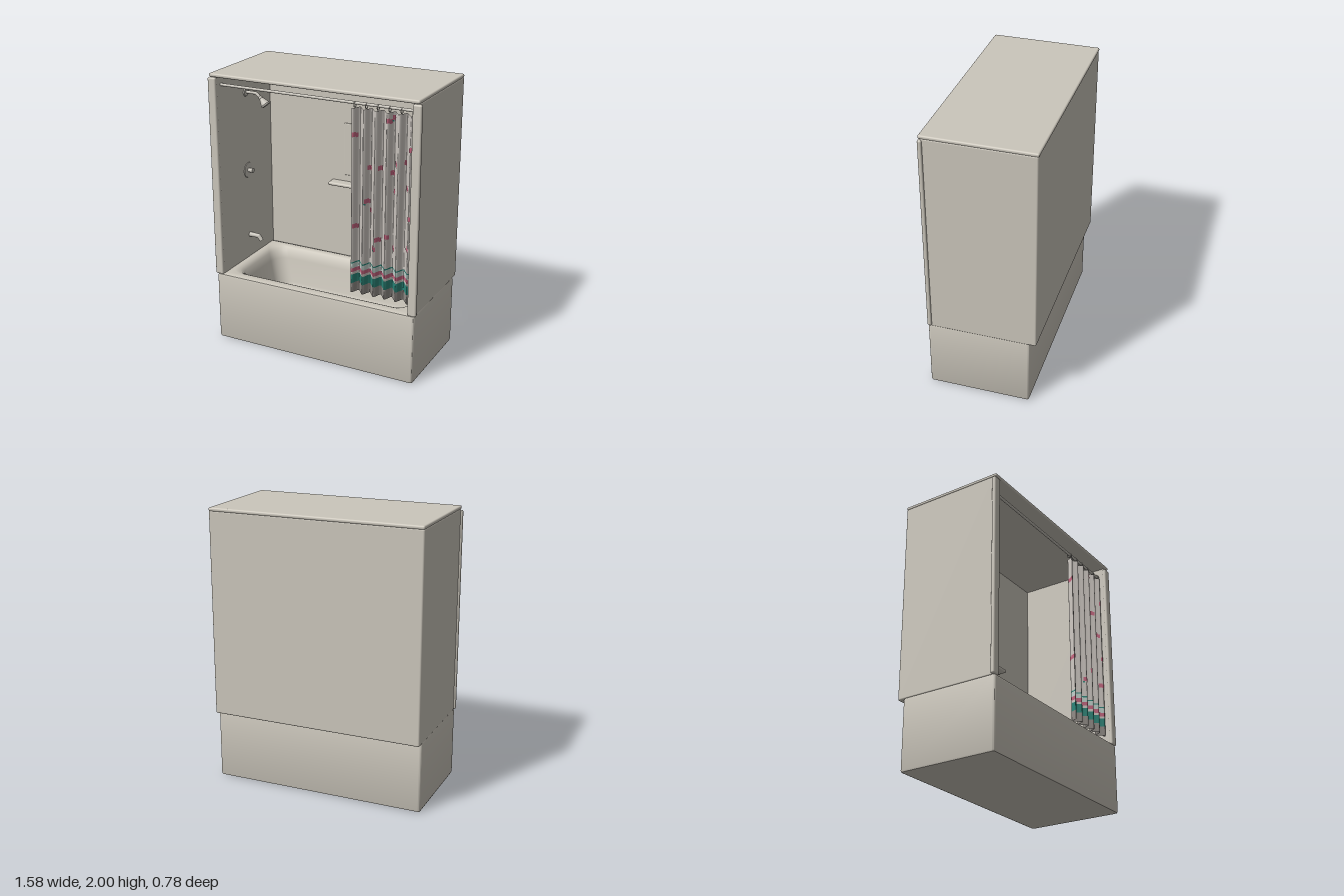
import * as THREE from 'three';
import { toCreasedNormals } from 'three/addons/utils/BufferGeometryUtils.js';
import { RoundedBoxGeometry } from 'three/addons/geometries/RoundedBoxGeometry.js';

const mat = (name, color, side = THREE.FrontSide) => {
  const m = new THREE.MeshStandardMaterial({ color, side });
  m.name = name;
  return m;
};

// Rounded rectangle in the xz plane
function rectLoop(hx, hz, r, y, cz) {
  const pts = [], n = 8;
  const corners = [[1, 1], [-1, 1], [-1, -1], [1, -1]];
  corners.forEach(([sx, sz], k) => {
    for (let i = 0; i <= n; i++) {
      const t = (k + i / n) * Math.PI / 2;
      pts.push([sx * (hx - r) + r * Math.cos(t), y, cz + sz * (hz - r) + r * Math.sin(t)]);
    }
  });
  return pts;
}

// Skin over a stack of equal-length closed loops
function loft(loops) {
  const n = loops[0].length, index = [];
  for (let i = 0; i < loops.length - 1; i++) {
    for (let j = 0; j < n; j++) {
      const k = (j + 1) % n;
      const a = i * n + j, b = i * n + k, c = a + n, d = b + n;
      index.push(a, c, b, b, c, d);
    }
  }
  const g = new THREE.BufferGeometry();
  g.setAttribute('position', new THREE.Float32BufferAttribute(loops.flat(2), 3));
  g.setIndex(index);
  return toCreasedNormals(g, 0.75);
}

export function createModel() {
  const model = new THREE.Group();
  model.name = 'bathtubShower';
  const shell = mat('warm grey shell', 0xcbc6bb);
  const metal = mat('satin fittings', 0xc6c2b9);
  const cloth = mat('curtain cloth', 0xcfc9c3, THREE.DoubleSide);
  const hem = mat('curtain hem grey', 0x918c87, THREE.DoubleSide);
  const pink = mat('curtain pink', 0xc4657f, THREE.DoubleSide);
  const teal = mat('curtain teal', 0x2b8578, THREE.DoubleSide);
  const pale = mat('curtain pale band', 0xc2d2cc, THREE.DoubleSide);

  const add = (name, geo, material, parent = model) => {
    const m = new THREE.Mesh(geo, material);
    m.name = name;
    parent.add(m);
    return m;
  };
  // Rounded box given by its minimum and maximum corners
  const box = (name, lo, hi, r, material = shell) => {
    const s = hi.map((v, i) => v - lo[i]);
    const m = add(name, new RoundedBoxGeometry(s[0], s[1], s[2], 3, r), material);
    m.position.set(...hi.map((v, i) => (v + lo[i]) / 2));
    return m;
  };
  // Round bar or cone between two points
  const bar = (name, a, b, r0, r1, parent = model) => {
    const p = new THREE.Vector3(...a), q = new THREE.Vector3(...b);
    const m = add(name, new THREE.CylinderGeometry(r1, r0, p.distanceTo(q), 24), metal, parent);
    m.position.copy(p).add(q).multiplyScalar(0.5);
    m.quaternion.setFromUnitVectors(new THREE.Vector3(0, 1, 0), q.sub(p).normalize());
    return m;
  };
  const ball = (name, p, r, parent) =>
    add(name, new THREE.SphereGeometry(r, 20, 14), metal, parent).position.set(...p);

  // Tub: outer skirt, rolled rim, then sloping basin: [half x, half z, corner, y, centre z]
  const tubProfile = [
    [0, 0, 0, 0, 0.022], [0.76, 0.347, 0.012, 0, 0.022],
    [0.771, 0.358, 0.015, 0.005, 0.022], [0.775, 0.362, 0.016, 0.016, 0.022],
    [0.775, 0.362, 0.016, 0.495, 0.022], [0.771, 0.358, 0.015, 0.51, 0.022],
    [0.76, 0.347, 0.012, 0.515, 0.022], [0.7, 0.305, 0.08, 0.515, 0.01],
    [0.675, 0.288, 0.1, 0.508, 0.01], [0.655, 0.272, 0.11, 0.485, 0.01],
    [0.635, 0.26, 0.11, 0.43, 0.01], [0.585, 0.235, 0.11, 0.25, 0.01],
    [0.565, 0.22, 0.11, 0.2, 0.01], [0.53, 0.19, 0.1, 0.17, 0.01],
    [0.47, 0.15, 0.09, 0.16, 0.01], [0, 0, 0, 0.16, 0.01],
  ];
  add('tub', loft(tubProfile.map((p) => rectLoop(...p))), shell);

  // Enclosure
  box('backWall', [-0.775, 0.505, -0.387], [0.775, 1.98, -0.337], 0.012);
  box('ceiling', [-0.775, 1.974, -0.39], [0.775, 2, 0.385], 0.011);
  for (const [side, s] of [['left', 1], ['right', -1]]) {
    const wall = box(side + 'Wall', [0.725, 0.505, -0.387], [0.775, 1.98, 0.37], 0.012);
    const trim = box(side + 'FrontTrim', [0.725, 0.512, 0.356], [0.788, 1.97, 0.386], 0.012);
    wall.position.x *= s;
    trim.position.x *= s;
  }

  // Back wall panel and shelf
  box('wallPanel', [-0.105, 1.155, -0.345], [0.202, 1.55, -0.328], 0.007);
  box('shelf', [-0.205, 1.08, -0.345], [0.31, 1.106, -0.26], 0.012);

  // Shower head on a bent arm
  const shower = new THREE.Group();
  shower.name = 'showerHead';
  model.add(shower);
  bar('showerFlange', [-0.727, 1.785, 0], [-0.717, 1.785, 0], 0.035, 0.03, shower);
  bar('showerArm', [-0.725, 1.785, 0], [-0.64, 1.785, 0], 0.011, 0.011, shower);
  ball('showerElbow', [-0.64, 1.785, 0], 0.011, shower);
  bar('showerArmEnd', [-0.64, 1.785, 0], [-0.6, 1.753, 0], 0.011, 0.011, shower);
  ball('showerJoint', [-0.603, 1.755, 0], 0.015, shower);
  bar('showerCone', [-0.602, 1.754, 0], [-0.565, 1.712, 0], 0.012, 0.034, shower);
  bar('showerFace', [-0.565, 1.712, 0], [-0.558, 1.704, 0], 0.034, 0.031, shower);

  // Mixer handle and tub spout
  bar('mixerPlate', [-0.727, 1.197, 0], [-0.721, 1.197, 0], 0.058, 0.055);
  bar('mixerHandle', [-0.722, 1.197, 0], [-0.682, 1.197, 0], 0.014, 0.018);
  const spout = new THREE.Group();
  spout.name = 'spout';
  model.add(spout);
  bar('spoutPipe', [-0.727, 0.688, 0], [-0.65, 0.688, 0], 0.018, 0.016, spout);
  ball('spoutElbow', [-0.65, 0.688, 0], 0.016, spout);
  bar('spoutEnd', [-0.65, 0.688, 0], [-0.625, 0.655, 0], 0.016, 0.015, spout);

  // Curtain rail and rings
  const railZ = 0.315;
  bar('curtainRail', [-0.73, 1.91, railZ], [0.73, 1.91, railZ], 0.01, 0.01);
  for (let i = 0; i < 6; i++) {
    const ring = add('curtainRing', new THREE.TorusGeometry(0.018, 0.0035, 8, 20), metal);
    ring.rotation.y = Math.PI / 2;
    ring.position.set(0.297 + i * 0.0825, 1.9, railZ);
  }

  // Pleated cloth: a sheet whose depth follows the folds
  const fold = (x) => {
    const t = (x - 0.285) / 0.0825 * Math.PI * 2;
    return railZ + 0.027 * Math.cos(t) + 0.006 * Math.sin(2 * t);
  };
  const curtain = new THREE.Group();
  curtain.name = 'curtain';
  model.add(curtain);
  const sheet = (name, x0, x1, y0, y1, material, offset = 0) => {
    const n = Math.max(3, Math.ceil((x1 - x0) / 0.0045));
    const g = new THREE.PlaneGeometry(x1 - x0, y1 - y0, n, 1);
    g.translate((x0 + x1) / 2, (y0 + y1) / 2, 0);
    const p = g.attributes.position;
    for (let i = 0; i < p.count; i++) {
      const x = p.getX(i);
      const slope = (fold(x + 0.001) - fold(x - 0.001)) / 0.002;
      const len = Math.hypot(slope, 1);
      p.setXYZ(i, x - offset * slope / len, p.getY(i), fold(x) + offset / len);
    }
    g.computeVertexNormals();
    return add(name, g, material, curtain);
  };
  const bands = [
    ['hem', 0.575, 0.645, hem], ['wideTealBand', 0.645, 0.708, teal],
    ['lowerGap', 0.708, 0.726, cloth], ['pinkBand', 0.726, 0.754, pink],
    ['paleBand', 0.754, 0.79, pale], ['thinTealBand', 0.79, 0.799, teal],
    ['cloth', 0.799, 1.88, cloth],
  ];
  for (const [name, y0, y1, m] of bands) sheet(name, 0.285, 0.718, y0, y1, m);

  // Small printed blossoms, on both faces of the cloth
  const blossoms = [
    [0.3, 1.7], [0.57, 1.84], [0.545, 1.825], [0.4, 1.48], [0.48, 1.49], [0.565, 1.47],
    [0.6, 1.54], [0.655, 1.55], [0.68, 1.385], [0.58, 1.345], [0.705, 1.655], [0.39, 1.25],
    [0.41, 1.18], [0.705, 1.185], [0.305, 1.06], [0.47, 0.99], [0.45, 0.93], [0.54, 1.03],
    [0.58, 0.94], [0.69, 0.97],
  ];
  blossoms.forEach(([x, y], i) => {
    for (const off of [0.002, -0.002]) {
      sheet('blossom', x - 0.012, x + 0.004, y - 0.014, y + 0.018, pink, off);
      sheet('blossom', x + 0.004, x + 0.012, y - 0.02, y + 0.01, pink, off);
      if (i % 5 === 1) sheet('leaf', x - 0.015, x - 0.007, y - 0.024, y - 0.014, teal, off);
    }
  });
  return model;
}
